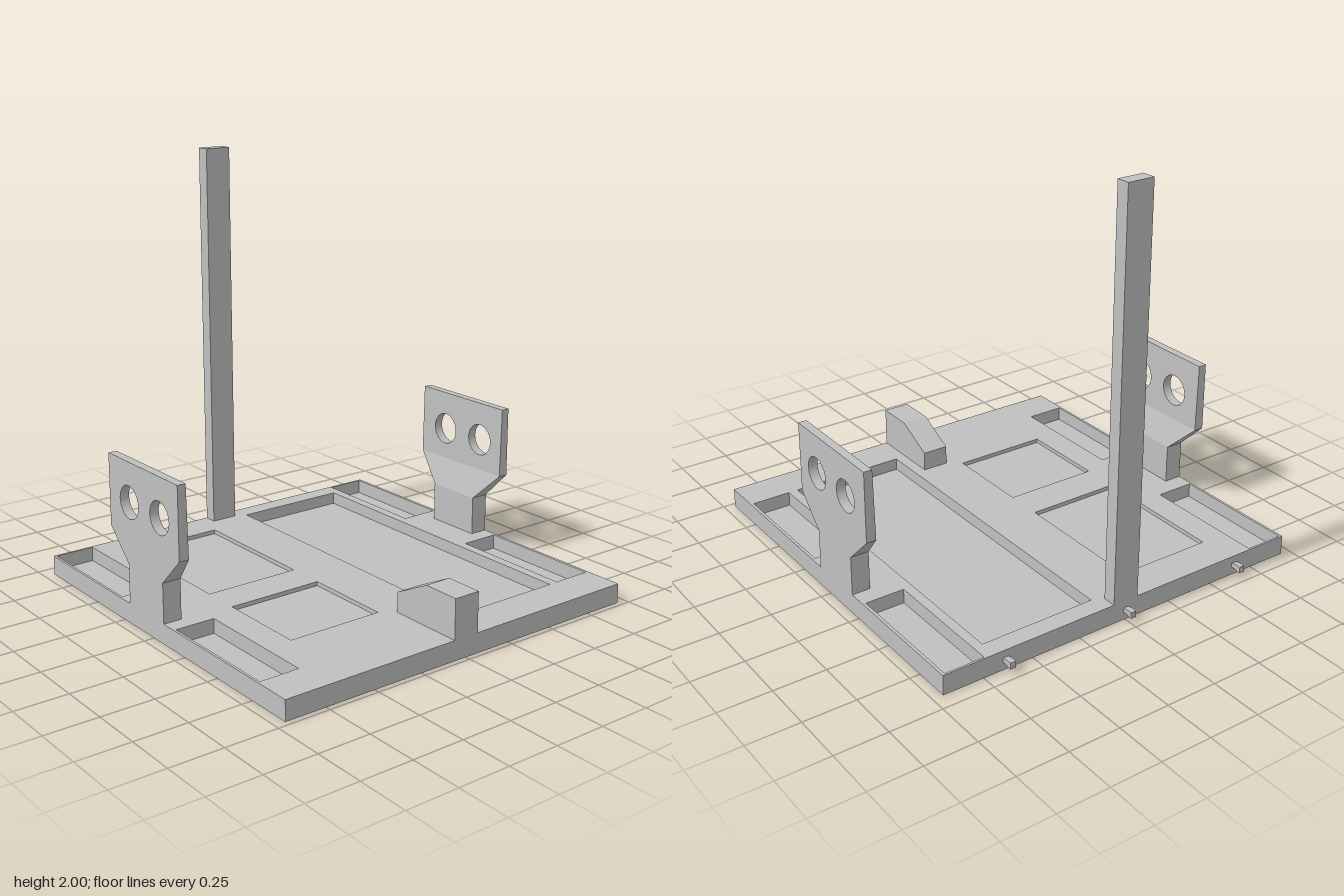
import * as THREE from 'three';
import { toCreasedNormals } from 'three/addons/utils/BufferGeometryUtils.js';

const BASE = { x: 0.95, z0: -0.925, z1: 0.975, h: 0.095 };

export function createModel() {
  const model = new THREE.Group();
  model.name = 'mountingBase';
  const grey = new THREE.MeshStandardMaterial({ color: 0xc0c0c0 });
  grey.name = 'plain grey';

  const add = (name, geometry, parent = model) => {
    const mesh = new THREE.Mesh(geometry, grey);
    mesh.name = name;
    parent.add(mesh);
    return mesh;
  };

  // Box given by its limits
  const box = (x0, x1, y0, y1, z0, z1) =>
    new THREE.BoxGeometry(x1 - x0, y1 - y0, z1 - z0)
      .translate((x0 + x1) / 2, (y0 + y1) / 2, (z0 + z1) / 2);

  // Box without its top; inward turns the faces to the inside
  const openBox = (inward, ...limits) => {
    const g = box(...limits);
    const index = Array.from(g.index.array).filter((_, i) => i < 12 || i >= 18);
    g.clearGroups();
    if (inward) {
      index.reverse();
      const n = g.attributes.normal;
      for (let i = 0; i < n.array.length; i++) n.array[i] *= -1;
    }
    g.setIndex(index);
    return g;
  };

  // Side profile of [z, y] points, extruded between x0 and x1
  const profile = (points, x0, x1, holes = []) => {
    const shape = new THREE.Shape(points.map(([z, y]) => new THREE.Vector2(z, y)));
    for (const [z, y, r] of holes) {
      shape.holes.push(new THREE.Path().absarc(z, y, r, 0, Math.PI * 2, true));
    }
    return new THREE.ExtrudeGeometry(shape, { depth: x1 - x0, bevelEnabled: false, curveSegments: 32 })
      .rotateY(-Math.PI / 2).translate(x1, 0, 0);
  };

  // Recesses in the base: x0, x1, z0, z1, depth
  const pockets = [
    [0.12, 0.695, -0.835, 0.787, 0.06],
    [-0.61, -0.135, -0.75, -0.075, 0.02],
    [-0.61, -0.135, 0.108, 0.55, 0.02],
  ];
  for (const [z0, z1] of [[-0.915, -0.29], [0.165, 0.787]]) {
    pockets.push([0.742, 0.935, z0, z1, 0.07], [-0.938, -0.745, z0, z1, 0.07]);
  }

  // Base plate: open slab, top with cutouts, and recess linings
  const base = new THREE.Group();
  base.name = 'basePlate';
  model.add(base);
  add('baseSlab', openBox(false, -BASE.x, BASE.x, 0, BASE.h, BASE.z0, BASE.z1), base);
  const rect = (Type, x0, x1, z0, z1) =>
    new Type([[x0, -z0], [x1, -z0], [x1, -z1], [x0, -z1]].map(p => new THREE.Vector2(...p)));
  const top = rect(THREE.Shape, -BASE.x, BASE.x, BASE.z0, BASE.z1);
  for (const [x0, x1, z0, z1, depth] of pockets) {
    top.holes.push(rect(THREE.Path, x0, x1, z0, z1));
    add('recess', openBox(true, x0, x1, BASE.h - depth, BASE.h, z0, z1), base);
  }
  add('baseTop', new THREE.ShapeGeometry(top).rotateX(-Math.PI / 2).translate(0, BASE.h, 0), base);

  // Tall rear post and sloped front stop
  add('rearPost', box(-0.067, 0.065, BASE.h, 2, BASE.z0, -0.86));
  add('frontStop', profile(
    [[0.6, BASE.h], [BASE.z1, BASE.h], [BASE.z1, 0.285], [0.79, 0.285], [0.6, 0.19]], -0.067, 0.065));

  // Side brackets: stem, flare and plate with two holes
  for (const side of [1, -1]) {
    const bracket = new THREE.Group();
    bracket.name = side > 0 ? 'leftBracket' : 'rightBracket';
    model.add(bracket);
    const span = inner => [side * inner, side * 0.95].sort((a, b) => a - b);

    add('stem', box(...span(0.86), BASE.h, 0.285, -0.2, 0.085), bracket);

    // The flare widens along z and thins along x towards its top
    const flare = box(...span(0.86), 0.285, 0.425, -0.2, 0.085);
    const f = flare.attributes.position;
    for (let i = 0; i < f.count; i++) {
      if (f.getY(i) < 0.4) continue;
      f.setZ(i, f.getZ(i) > 0 ? 0.225 : -0.345);
      if (side * f.getX(i) < 0.9) f.setX(i, side * 0.902);
    }
    add('flare', toCreasedNormals(flare, 0.3), bracket);

    // The plate's inner face leans outward slightly
    const plate = profile([[-0.345, 0.425], [0.225, 0.425], [0.225, 0.765], [-0.345, 0.765]],
      ...span(0.902), [[0.073, 0.578, 0.077], [-0.177, 0.578, 0.077]]);
    const p = plate.attributes.position;
    for (let i = 0; i < p.count; i++) {
      if (side * p.getX(i) < 0.92) p.setX(i, side * (0.902 + 0.007 * (p.getY(i) - 0.425) / 0.34));
    }
    add('holedPlate', toCreasedNormals(plate, 0.5), bracket);
  }

  // Small hooked pegs on the rear edge
  for (const x of [-0.645, -0.003, 0.64]) {
    add('rearPeg', profile(
      [[BASE.z0, 0.04], [BASE.z0, 0.06], [-0.95, 0.065], [-0.978, 0.065], [-0.978, 0.034], [-0.96, 0.034], [-0.95, 0.04]],
      x - 0.014, x + 0.014).scale(1, 1, 1));
  }
  return model;
}
